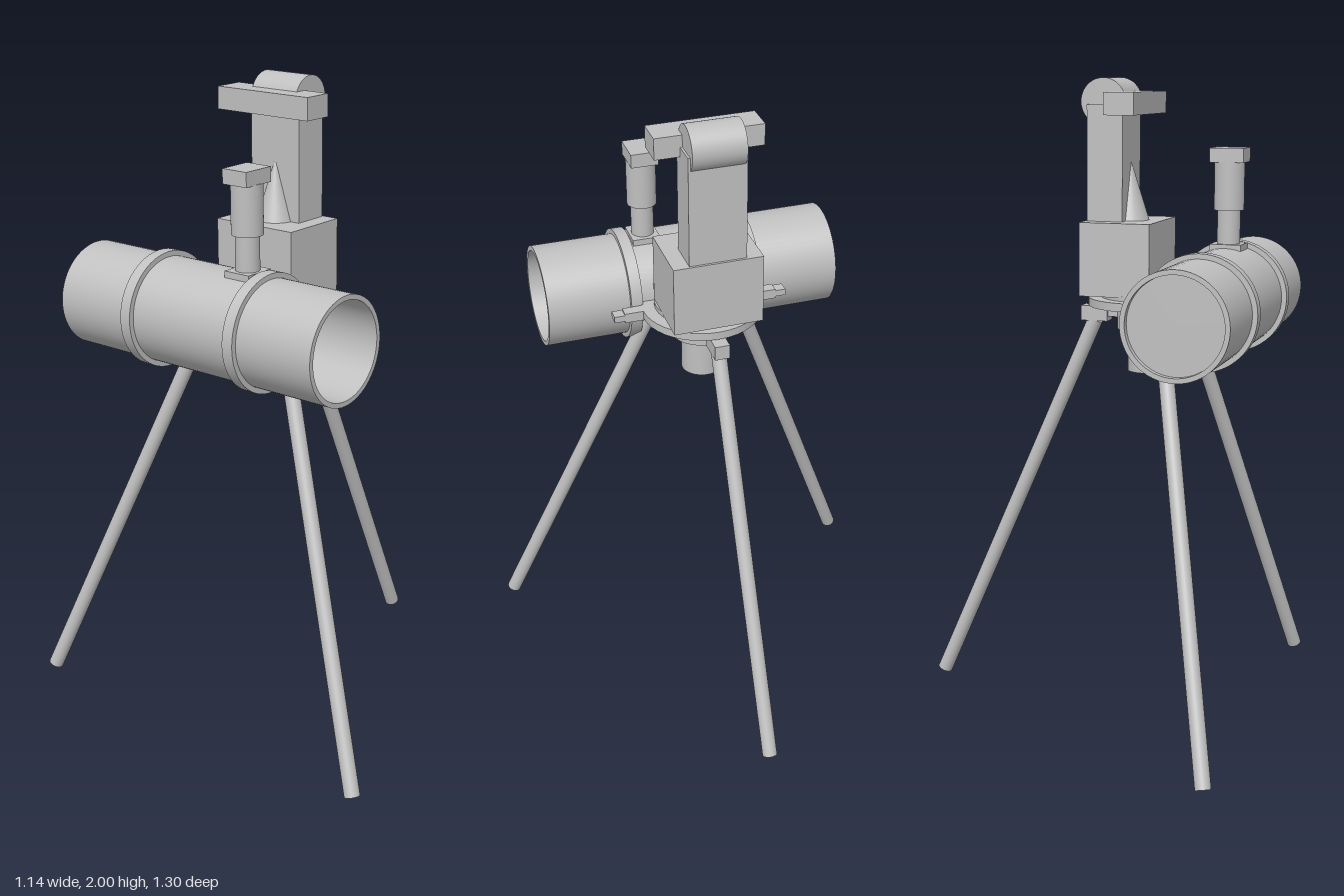
import * as THREE from 'three';
import { toCreasedNormals } from 'three/addons/utils/BufferGeometryUtils.js';

export function createModel() {
  const model = new THREE.Group();
  model.name = 'telescopeOnTripod';
  const grey = new THREE.MeshStandardMaterial({ color: 0xc0c0c0 });
  grey.name = 'light grey';

  const add = (name, geometry, x, y, z, parent = model) => {
    const mesh = new THREE.Mesh(geometry, grey);
    mesh.name = name;
    mesh.position.set(x, y, z);
    parent.add(mesh);
    return mesh;
  };
  // box from its minimum and maximum corners
  const box = (name, [x0, y0, z0], [x1, y1, z1], parent) =>
    add(name, new THREE.BoxGeometry(x1 - x0, y1 - y0, z1 - z0),
      (x0 + x1) / 2, (y0 + y1) / 2, (z0 + z1) / 2, parent);
  // upright cylinder between two heights
  const post = (name, r, y0, y1, x, z, parent) =>
    add(name, new THREE.CylinderGeometry(r, r, y1 - y0, 40), x, (y0 + y1) / 2, z, parent);
  // hollow ring along z, centred on the given z
  const ring = (name, outer, inner, length, z, parent) => {
    const shape = new THREE.Shape().absarc(0, 0, outer, 0, Math.PI * 2);
    shape.holes.push(new THREE.Path().absarc(0, 0, inner, 0, Math.PI * 2, true));
    const g = new THREE.ExtrudeGeometry(shape, { depth: length, bevelEnabled: false, curveSegments: 32 });
    g.translate(0, 0, -length / 2);
    return add(name, toCreasedNormals(g, 0.6), 0, 0, z, parent);
  };

  // Optical tube, open at the front
  const tube = new THREE.Group();
  tube.name = 'opticalTube';
  tube.position.set(-0.397, 1.316, 0);
  model.add(tube);
  ring('tubeWall', 0.162, 0.147, 0.96, 0, tube);
  for (const s of [-1, 1]) ring('tubeRing', 0.178, 0.155, 0.037, s * 0.198, tube);
  const mirror = add('primaryMirror', new THREE.CylinderGeometry(0.148, 0.148, 0.03, 48), 0, 0, -0.445, tube);
  mirror.rotation.x = Math.PI / 2;

  // Secondary mirror with cross vanes
  box('secondaryMirror', [-0.028, -0.017, 0.18], [0.028, 0.017, 0.23], tube);
  box('horizontalVane', [-0.149, -0.005, 0.195], [0.149, 0.005, 0.215], tube);
  box('verticalVane', [-0.005, -0.149, 0.195], [0.005, 0.149, 0.215], tube);

  // Eyepiece
  const ex = -0.397, ez = 0.127;
  box('focuserBase', [ex - 0.05, 1.455, ez - 0.045], [ex + 0.05, 1.49, ez + 0.045]);
  post('focuserTube', 0.036, 1.47, 1.6, ex, ez);
  post('eyepieceBarrel', 0.047, 1.595, 1.745, ex, ez);
  box('eyepieceCap', [ex - 0.054, 1.743, ez - 0.044], [ex + 0.054, 1.787, ez + 0.044]);

  // Mount head
  const cx = -0.177;
  box('mountBody', [-0.219, 1.341, -0.143], [0.005, 1.567, 0.143]);
  box('saddle', [-0.322, 1.33, -0.137], [-0.21, 1.382, 0.137]);
  box('column', [-0.117, 1.56, -0.091], [-0.003, 1.92, 0.091]);
  add('columnCone', new THREE.ConeGeometry(0.06, 0.19, 32), -0.114, 1.66, 0);
  const drum = add('topDrum', new THREE.CylinderGeometry(0.071, 0.071, 0.168, 40), -0.053, 1.929, 0);
  drum.rotation.x = Math.PI / 2;
  box('crossBar', [-0.177, 1.89, -0.17], [-0.081, 1.958, 0.17]);

  // Turntable, plate and hub
  post('turntable', 0.15, 1.32, 1.345, cx, 0);
  post('plate', 0.19, 1.304, 1.33, cx, 0);
  post('hub', 0.1, 1.23, 1.31, cx, 0);
  post('lowerHub', 0.066, 1.096, 1.24, cx, 0);
  box('sideBar', [-0.215, 1.298, -0.25], [-0.178, 1.33, 0.25]);
  box('sideBarTip', [-0.215, 1.304, -0.284], [-0.178, 1.325, 0.284]);

  // Three legs, each with its hinge block
  for (let i = 0; i < 3; i++) {
    const arm = new THREE.Group();
    arm.name = 'legAssembly';
    arm.position.x = cx;
    arm.rotation.y = i * Math.PI * 2 / 3;
    model.add(arm);
    box('hingeBlock', [0.13, 1.247, -0.024], [0.217, 1.294, 0.024], arm);
    box('hingeStrap', [0.09, 1.262, -0.018], [0.14, 1.306, 0.018], arm);
    const top = new THREE.Vector3(0.177, 1.25, 0), foot = new THREE.Vector3(0.723, 0.01, 0);
    const dir = top.clone().sub(foot);
    const leg = add('leg', new THREE.CylinderGeometry(0.024, 0.024, dir.length(), 24), 0, 0, 0, arm);
    leg.position.copy(top).add(foot).multiplyScalar(0.5);
    leg.quaternion.setFromUnitVectors(new THREE.Vector3(0, 1, 0), dir.normalize());
  }
  return model;
}
